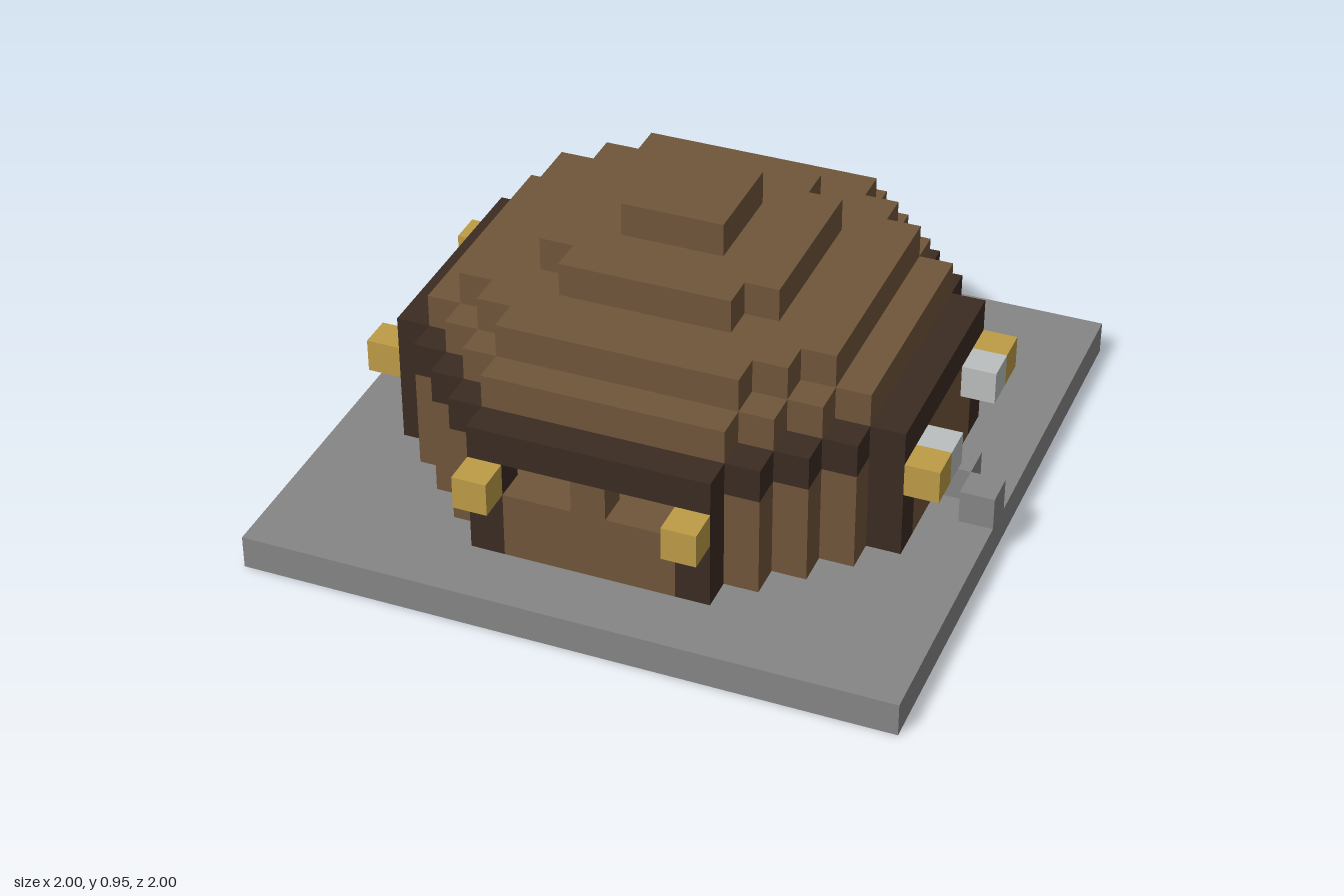
import * as THREE from 'three';
import { mergeGeometries } from 'three/addons/utils/BufferGeometryUtils.js';

const U = 2 / 19; // one block

const material = (name, color) => {
  const m = new THREE.MeshStandardMaterial({ color });
  m.name = name;
  return m;
};

// Half-widths of each plan, row by row outwards from the centre
const PLAN = {
  wall: [7, 7, 7, 7, 6, 5, 4, 3],
  inner: [6, 6, 6, 6, 5, 4, 3],
  upper: [5, 5, 5, 5, 4, 3],
  crown: [3, 3, 3, 2],
  cap: [1, 1],
};
const inside = (plan, x, z) => Math.abs(x) <= (plan[Math.abs(z)] ?? -1);

// Stepped outline of a plan
function outline(plan) {
  const n = plan.length - 1;
  const right = [];
  for (let z = -n; z <= n; z++) {
    const w = plan[Math.abs(z)] + 0.5;
    const prev = right[right.length - 1];
    if (prev && prev.x === w) prev.y = z + 0.5;
    else right.push(new THREE.Vector2(w, z - 0.5), new THREE.Vector2(w, z + 0.5));
  }
  const left = right.map((p) => new THREE.Vector2(-p.x, p.y)).reverse();
  return [...right, ...left];
}

// One layer: an outer outline with an optional opening
function layer(name, mat, outer, hole, y) {
  const shape = new THREE.Shape(outer);
  if (hole) shape.holes.push(new THREE.Path(hole));
  const g = new THREE.ExtrudeGeometry(shape, { depth: 1, bevelEnabled: false });
  g.rotateX(-Math.PI / 2).translate(0, y, 0).scale(U, U, U);
  const mesh = new THREE.Mesh(g, mat);
  mesh.name = name;
  return mesh;
}

// Columns of blocks, each [x, z, bottom, top], merged into one mesh
function columns(name, mat, list) {
  const parts = list.map(([x, z, y0, y1]) =>
    new THREE.BoxGeometry(1, y1 - y0, 1).translate(x, (y0 + y1) / 2, z));
  const mesh = new THREE.Mesh(mergeGeometries(parts).scale(U, U, U), mat);
  mesh.name = name;
  return mesh;
}

export function createModel() {
  const stone = material('stone', 0x868686);
  const planks = material('planks', 0x70563a);
  const logs = material('dark logs', 0x3b2c22);
  const gold = material('lantern gold', 0xbe9c46);
  const pale = material('pale metal', 0xbcbfbf);

  const model = new THREE.Group();
  model.name = 'roundHut';

  // Ground slab around the sunken floor
  const square = [[-9.5, -9.5], [9.5, -9.5], [9.5, 9.5], [-9.5, 9.5]]
    .map(([x, z]) => new THREE.Vector2(x, z));
  model.add(layer('groundSlab', stone, square, outline(PLAN.wall), 0));

  // Posts, pillars and lanterns, mirrored to every side
  const posts = [], pillars = [], lanterns = [];
  for (const a of [-1, 1]) {
    for (const b of [-1, 1]) {
      posts.push([3 * a, 7 * b, 0, 4], [7 * a, 3 * b, 0, 4]);
      lanterns.push([3 * a, 8 * b, 3, 4], [8 * a, 3 * b, 3, 4]);
      pillars.push([3 * a, 3 * b, 0, 6]);
    }
  }
  const taken = new Set([...posts, ...pillars].map(([x, z]) => `${x},${z}`));
  taken.add('0,0');

  // Floor and walls, with two windows at the front and back
  const floor = [], walls = [];
  for (let z = -7; z <= 7; z++) {
    for (let x = -7; x <= 7; x++) {
      if (!inside(PLAN.wall, x, z) || taken.has(`${x},${z}`)) continue;
      floor.push([x, z, 0, 1]);
      if (inside(PLAN.inner, x, z)) continue;
      const window = Math.abs(z) === 7 && (Math.abs(x) === 1 || Math.abs(x) === 2);
      walls.push([x, z, 1, window ? 3 : 4]);
    }
  }
  model.add(
    columns('floor', planks, floor),
    columns('hearth', stone, [[0, 0, 0, 1]]),
    columns('walls', planks, walls),
    columns('wallPosts', logs, posts),
    columns('innerPillars', logs, pillars),
    columns('lanterns', gold, lanterns),
    columns('sideBrackets', pale, [[8, -2, 3, 4], [8, 2, 3, 4]]),
    columns('pathStones', stone, [[8, 0, 1, 2], [9, 1, 1, 2]]),
  );

  // Eaves beam and stepped roof
  const rings = ['wall', 'inner', 'upper', 'crown', 'cap'];
  rings.forEach((key, i) => {
    const next = rings[i + 1];
    model.add(layer(i ? `roofTier${i}` : 'eavesBeam', i ? planks : logs,
      outline(PLAN[key]), next && outline(PLAN[next]), 4 + i));
  });

  return model;
}
